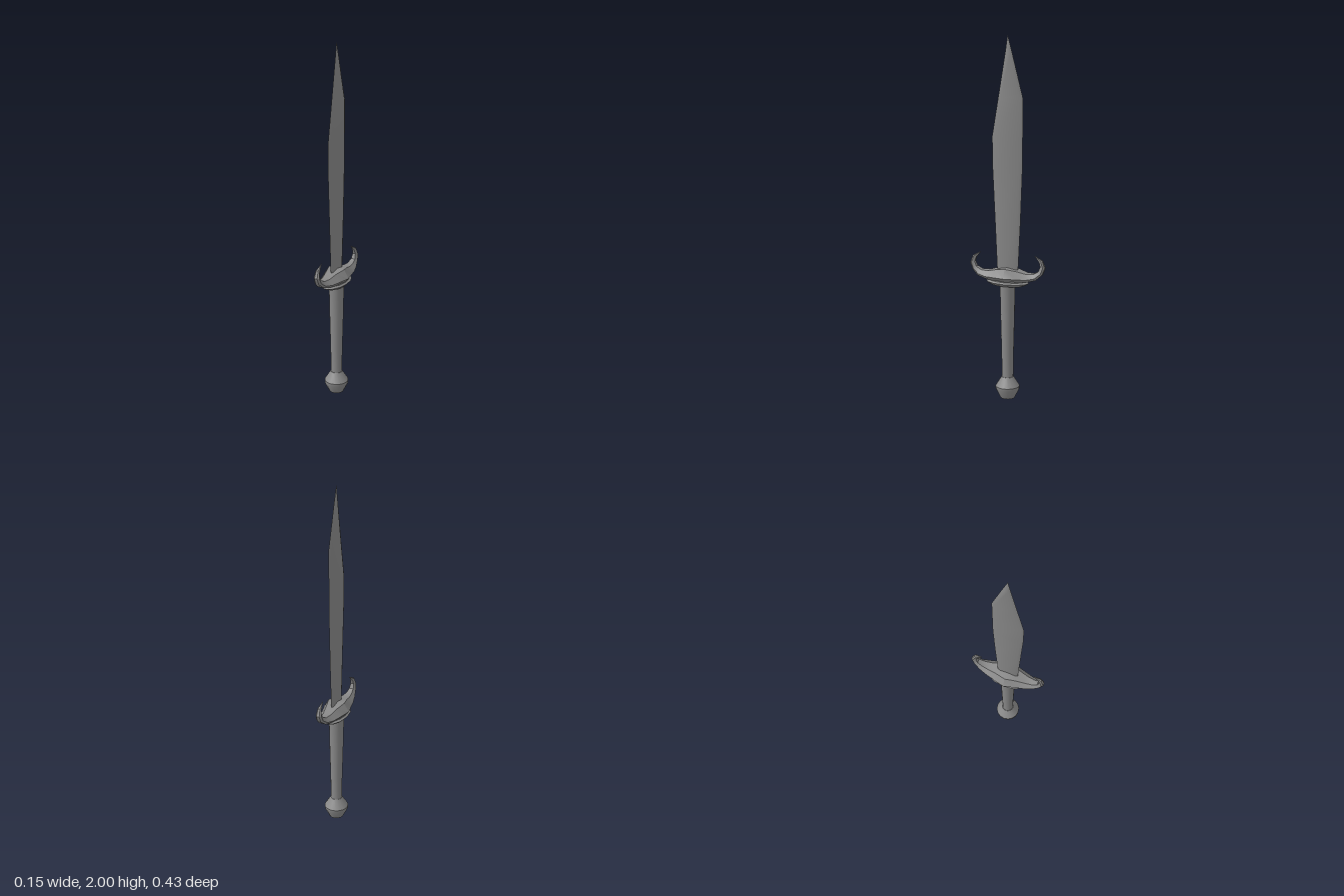
import * as THREE from 'three';
import { toCreasedNormals } from 'three/addons/utils/BufferGeometryUtils.js';

const material = new THREE.MeshStandardMaterial({ color: 0x888888 });

// Joins matching rings of [x, y, z] points into a skin.
function loft(rings) {
  const pos = [];
  const n = rings[0].length;
  for (let i = 0; i < rings.length - 1; i++) {
    for (let j = 0; j < n; j++) {
      const k = (j + 1) % n;
      const a = rings[i][j], b = rings[i][k], c = rings[i + 1][k], d = rings[i + 1][j];
      pos.push(...a, ...b, ...c, ...a, ...c, ...d);
    }
  }
  const geo = new THREE.BufferGeometry();
  geo.setAttribute('position', new THREE.Float32BufferAttribute(pos, 3));
  return geo;
}

// Turned part, optionally flattened to an oval, with sharp edges kept.
function lathe(points, sides, scaleX = 1, scaleZ = 1) {
  const geo = new THREE.LatheGeometry(points.map(([r, y]) => new THREE.Vector2(r, y)), sides);
  return toCreasedNormals(geo.scale(scaleX, 1, scaleZ), 0.6);
}

export function createModel() {
  const group = new THREE.Group();
  const add = (name, geo) => {
    const mesh = new THREE.Mesh(geo, material);
    mesh.name = name;
    group.add(mesh);
  };

  // Pommel and tapered grip
  add('pommel', lathe([[0, 0], [0.04, 0], [0.066, 0.052], [0.067, 0.068], [0.033, 0.122], [0, 0.122]], 16));
  add('grip', lathe([[0.031, 0.115], [0.033, 0.25], [0.038, 0.45], [0.042, 0.655]], 16));

  // Flattened collar under the guard
  add('collar', lathe(
    [[0, 0.647], [0.75, 0.647], [1, 0.664], [0.85, 0.672], [0.85, 0.685], [0, 0.685]], 12, 0.066, 0.123));

  // Guard: [outer z, outer y, inner z, inner y, middle half width, inner half width]
  const half = [
    [0, 0.672, 0, 0.745, 0.076, 0.048],
    [0.07, 0.674, 0.06, 0.734, 0.058, 0.032],
    [0.12, 0.679, 0.11, 0.721, 0.045, 0.022],
    [0.167, 0.691, 0.15, 0.722, 0.031, 0.016],
    [0.2, 0.72, 0.178, 0.738, 0.021, 0.012],
    [0.215, 0.757, 0.189, 0.765, 0.017, 0.009],
    [0.2, 0.798, 0.182, 0.788, 0.012, 0.006],
    [0.152, 0.825, 0.152, 0.825, 0, 0],
  ];
  const section = (s, side) => {
    const [oz, oy, iz, iy, wm, wi] = s;
    const wo = wm * (oz > 0.19 ? 0.5 : 0.7);
    const mz = oz + (iz - oz) * 0.35, my = oy + (iy - oy) * 0.35;
    return [[-wo, oy, oz], [wo, oy, oz], [wm, my, mz], [wi, iy, iz], [-wi, iy, iz], [-wm, my, mz]]
      .map(([x, y, z]) => [x, y, z * side]);
  };
  const rings = [
    ...half.slice(1).reverse().map((s) => section(s, -1)),
    ...half.map((s) => section(s, 1)),
  ];
  add('guard', toCreasedNormals(loft(rings), 0.55));

  // Blade: [height, back edge z, front edge z, half thickness]
  const blade = [
    [0.69, -0.058, 0.058, 0.007],
    [1.0, -0.073, 0.072, 0.007],
    [1.3, -0.084, 0.086, 0.007],
    [1.46, -0.085, 0.088, 0.007],
    [1.67, -0.086, 0.053, 0.007],
    [1.9, -0.027, 0.015, 0.007],
    [2, 0, 0, 0],
  ].map(([y, b, f, t]) => {
    const bevel = Math.min(0.016, (f - b) * 0.3);
    return [[0, y, f], [t, y, f - bevel], [t, y, b + bevel], [0, y, b], [-t, y, b + bevel], [-t, y, f - bevel]];
  });
  add('blade', toCreasedNormals(loft(blade), 0.6));

  return group;
}
